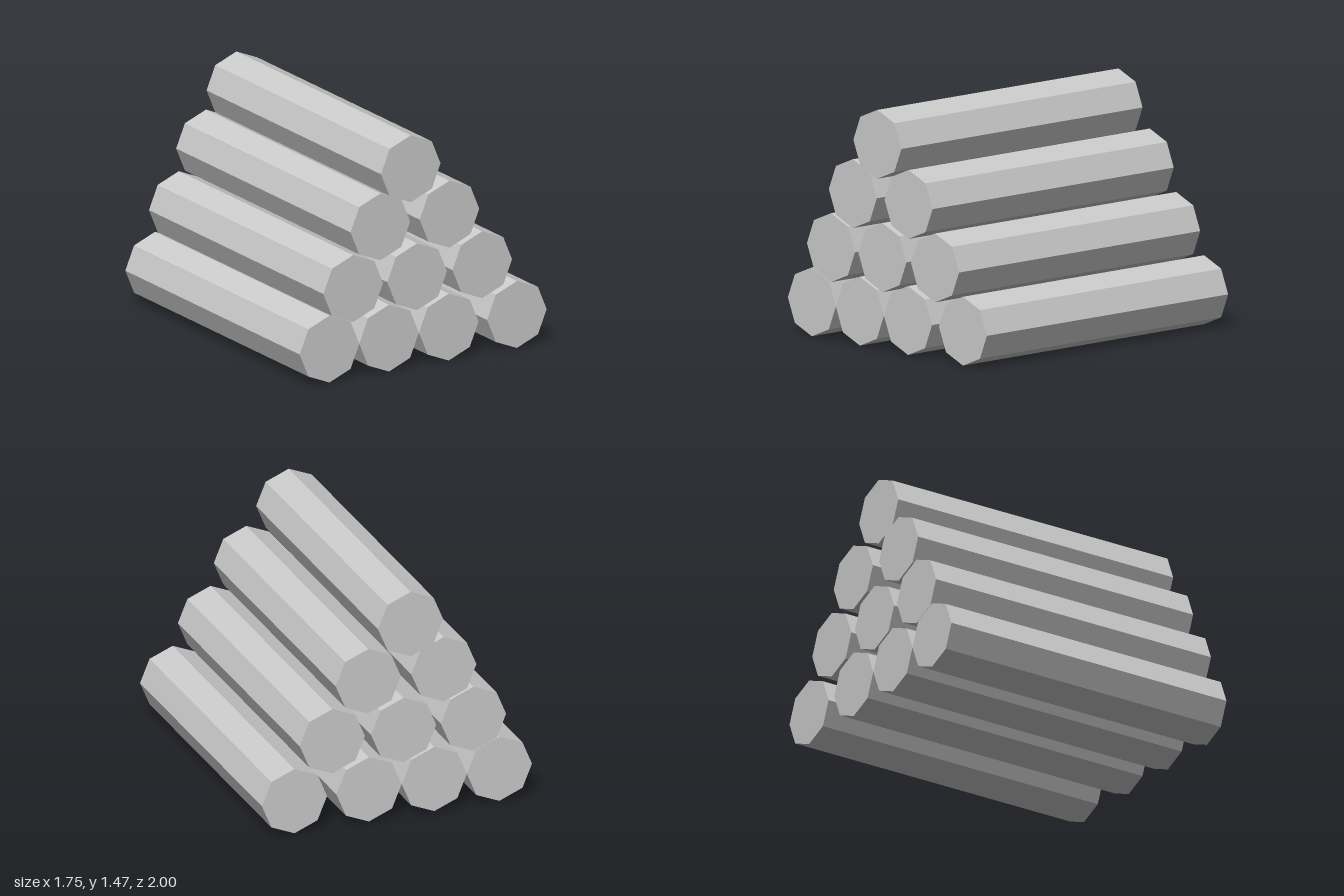
import * as THREE from 'three';

const RADIUS = 0.2115;
const LENGTH = 2;

// Each row of the stack: centre height and the x of every log
const ROWS = [
  { y: RADIUS, xs: [-0.666, -0.243, 0.181, 0.665] },
  { y: 0.567, xs: [-0.498, -0.044, 0.419] },
  { y: 0.925, xs: [-0.305, 0.186] },
  { y: 1.257, xs: [-0.089] },
];

export function createModel() {
  const model = new THREE.Group();
  model.name = 'logPile';
  const material = new THREE.MeshStandardMaterial({ color: 0xcccccc, flatShading: true });

  // Eight-sided log lying along z, with a corner pointing straight up
  const logGeometry = new THREE.CylinderGeometry(RADIUS, RADIUS, LENGTH, 8);
  logGeometry.rotateX(Math.PI / 2);

  ROWS.forEach(({ y, xs }, r) => {
    const row = new THREE.Group();
    row.name = `logRow${r + 1}`;
    row.position.y = y;
    xs.forEach((x, i) => {
      const log = new THREE.Mesh(logGeometry, material);
      log.name = `log${r + 1}_${i + 1}`;
      log.position.x = x;
      row.add(log);
    });
    model.add(row);
  });
  return model;
}
